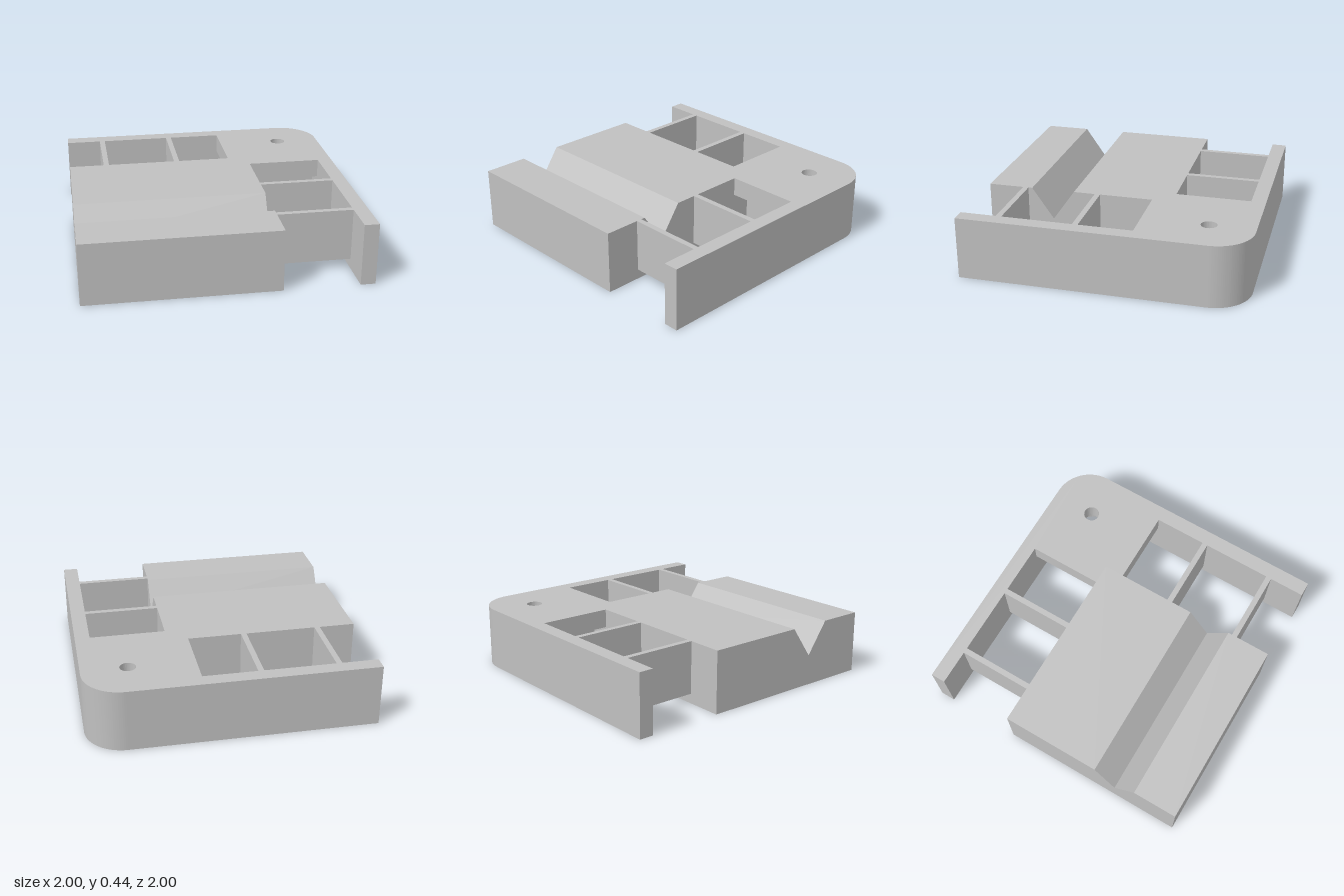
import * as THREE from 'three';

const HEIGHT = 0.445;  // overall thickness
const LEDGE = 0.31;    // underside of the overhang at the corner
const INNER = 0.895;   // inner face of both rails
const EDGE = 0.36;     // sides of the main block
const RADIUS = 0.27;   // rounded outer corner

export function createModel() {
  const grey = new THREE.MeshStandardMaterial({ color: 0xc0c0c0 });
  grey.name = 'plain grey';
  const model = new THREE.Group();
  model.name = 'cornerJig';

  const add = (name, geometry) => {
    const mesh = new THREE.Mesh(geometry, grey);
    mesh.name = name;
    model.add(mesh);
    return mesh;
  };

  // Plan outline (x, -z): two rails joined at a rounded corner with a bored hole
  const cornerLayer = (name, reach, y0, y1, holeRadius) => {
    const shape = new THREE.Shape();
    shape.moveTo(-1, 1);
    shape.lineTo(-1, INNER);
    shape.lineTo(reach, INNER);
    shape.lineTo(reach, EDGE);
    if (reach < EDGE) shape.lineTo(EDGE, EDGE);
    shape.lineTo(EDGE, reach);
    shape.lineTo(INNER, reach);
    shape.lineTo(INNER, -1);
    shape.lineTo(1, -1);
    shape.lineTo(1, 1 - RADIUS);
    shape.absarc(1 - RADIUS, 1 - RADIUS, RADIUS, 0, Math.PI / 2, false);
    shape.closePath();
    const hole = new THREE.Path();
    hole.absarc(0.68, 0.68, holeRadius, 0, Math.PI * 2, true);
    shape.holes.push(hole);
    const geometry = new THREE.ExtrudeGeometry(shape, {
      depth: y1 - y0, bevelEnabled: false, curveSegments: 16,
    });
    geometry.rotateX(-Math.PI / 2);
    geometry.translate(0, y0, 0);
    add(name, geometry);
  };
  cornerLayer('lowerRailsAndCorner', EDGE, 0, LEDGE, 0.205);
  cornerLayer('upperRailsAndCorner', 0.215, LEDGE, HEIGHT, 0.056);

  // Main block with a V groove running across it, profile in (-z, y)
  const profile = new THREE.Shape([
    [-1, 0], [EDGE, 0], [EDGE, HEIGHT], [-0.36, HEIGHT],
    [-0.518, 0.22], [-0.676, HEIGHT], [-1, HEIGHT],
  ].map(([u, v]) => new THREE.Vector2(u, v)));
  const block = new THREE.ExtrudeGeometry(profile, { depth: 1 + EDGE, bevelEnabled: false });
  block.rotateY(Math.PI / 2);
  block.translate(-1, 0, 0);
  add('groovedBlock', block);

  // Thin webs tying the rails to the block, raised off the base
  const webHeight = HEIGHT - 0.07;
  const span = INNER - EDGE;
  const middle = (INNER + EDGE) / 2;
  for (const offset of [0.185, 0.725]) {
    add('backWeb', new THREE.BoxGeometry(0.04, webHeight, span))
      .position.set(-offset, 0.07 + webHeight / 2, -middle);
    add('sideWeb', new THREE.BoxGeometry(span, webHeight, 0.04))
      .position.set(middle, 0.07 + webHeight / 2, offset);
  }
  return model;
}
